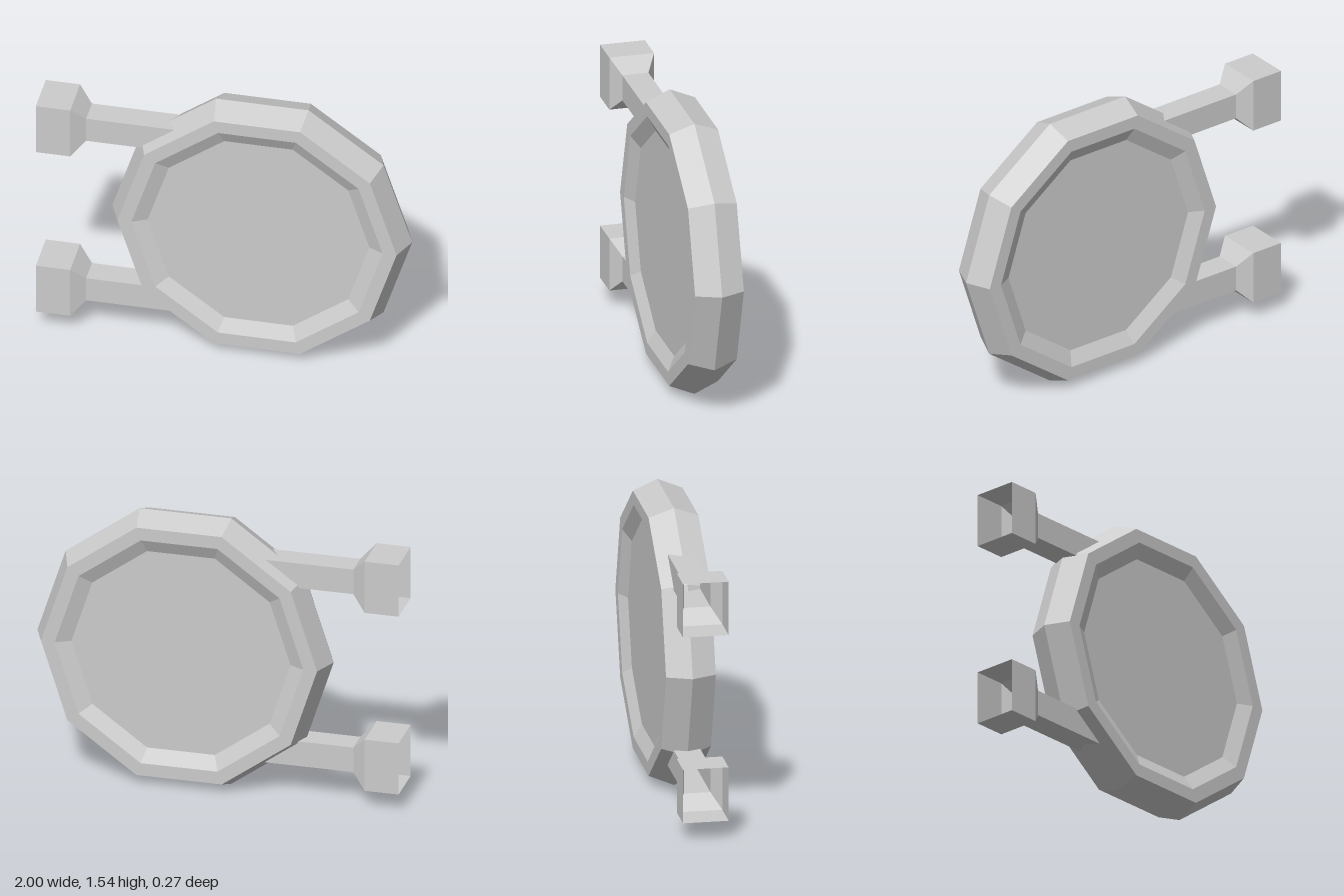
import * as THREE from 'three';

const material = new THREE.MeshStandardMaterial({ color: 0xcccccc, flatShading: true });
const openMaterial = new THREE.MeshStandardMaterial({ color: 0xcccccc, flatShading: true, side: THREE.DoubleSide });

// Open rectangular tube along x; each section is [x, half height, half depth]
function rectLoft(sections) {
  const corners = [[1, 1], [1, -1], [-1, -1], [-1, 1]];
  const positions = [];
  const index = [];
  sections.forEach(([x, h, d], s) => {
    for (const [cy, cz] of corners) positions.push(x, cy * h, cz * d);
    if (s === 0) return;
    for (let k = 0; k < 4; k++) {
      const a = (s - 1) * 4 + k, b = (s - 1) * 4 + (k + 1) % 4;
      const c = a + 4, e = b + 4;
      index.push(a, c, b, b, c, e);
    }
  });
  const geometry = new THREE.BufferGeometry();
  geometry.setAttribute('position', new THREE.Float32BufferAttribute(positions, 3));
  geometry.setIndex(index);
  const flat = geometry.toNonIndexed();
  flat.computeVertexNormals();
  return flat;
}

export function createModel() {
  const model = new THREE.Group();
  model.name = 'roundSignWithBrackets';

  // Ten-sided disc: shallow recessed faces, flat rims and a ridged outer edge
  const half = [[0, 0.093], [0.597, 0.093], [0.677, 0.133], [0.752, 0.133]];
  const profile = [
    ...half.map(([r, z]) => new THREE.Vector2(r, -z)),
    new THREE.Vector2(0.807, 0),
    ...half.slice().reverse().map(([r, z]) => new THREE.Vector2(r, z)),
  ];
  const discGeometry = new THREE.LatheGeometry(profile, 10, Math.PI / 2);
  discGeometry.rotateX(Math.PI / 2);
  const disc = new THREE.Mesh(discGeometry, material);
  disc.name = 'disc';
  disc.position.set(0.193, 0.768, 0);
  model.add(disc);

  // Two side brackets: open-ended block tapering into an arm that enters the disc
  const bracketGeometry = rectLoft([
    [-1, 0.148, 0.122],
    [-0.815, 0.148, 0.122],
    [-0.74, 0.071, 0.071],
    [-0.24, 0.071, 0.071],
  ]);
  for (const [name, y] of [['upperBracket', 1.28], ['lowerBracket', 0.251]]) {
    const bracket = new THREE.Mesh(bracketGeometry, openMaterial);
    bracket.name = name;
    bracket.position.y = y;
    model.add(bracket);
  }

  return model;
}
